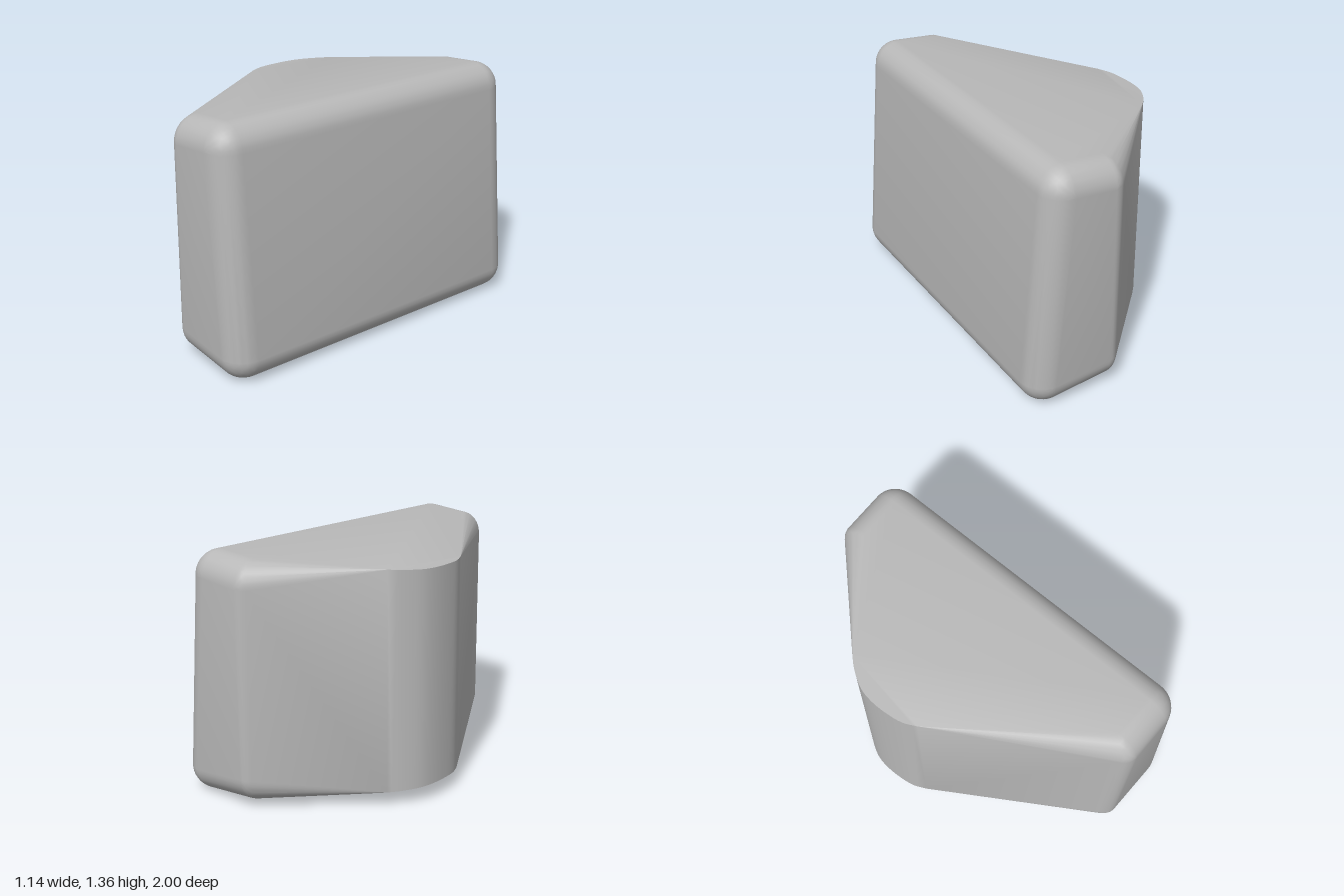
import * as THREE from 'three';
import { ConvexGeometry } from 'three/addons/geometries/ConvexGeometry.js';
import { toCreasedNormals } from 'three/addons/utils/BufferGeometryUtils.js';

// Points of an ellipsoid that rounds one corner of the block
function roundedCorner(center, radii) {
  const ball = new THREE.SphereGeometry(1, 32, 20).rotateX(Math.PI / 2);
  const pos = ball.attributes.position;
  const points = [];
  for (let i = 0; i < pos.count; i++) {
    points.push(new THREE.Vector3().fromBufferAttribute(pos, i).multiply(radii).add(center));
  }
  return points;
}

export function createModel() {
  const group = new THREE.Group();
  group.name = 'wedgeBlock';
  const grey = new THREE.MeshStandardMaterial({ color: 0xb8b8b8 });
  grey.name = 'grey';

  const points = [];

  // Rounded corners: slanted right face, then the narrow front and back ends
  const round = new THREE.Vector3(0.138, 0.138, 0.138);
  const tightRound = new THREE.Vector3(0.1, 0.14, 0.14);
  for (const side of [1, -1]) {
    points.push(
      ...roundedCorner(new THREE.Vector3(0.335, 1.222, side * 0.862), round),
      ...roundedCorner(new THREE.Vector3(0.432, 0.138, side * 0.862), round),
      ...roundedCorner(new THREE.Vector3(0.1, 1.2, side * 0.86), tightRound),
      ...roundedCorner(new THREE.Vector3(0.1, 0.17, side * 0.86), tightRound)
    );
  }

  // Curved left nose with sharp top and bottom rims on the sloping planes
  const nose = new THREE.CatmullRomCurve3(
    [[-0.45, -0.455], [-0.5, -0.397], [-0.555, -0.3], [-0.572, -0.21],
      [-0.57, -0.106], [-0.555, -0.016], [-0.52, 0.058]]
      .map(([x, z]) => new THREE.Vector3(x, 0, z))
  );
  for (const { x, z } of nose.getPoints(18)) {
    const run = x + 0.57;
    points.push(
      new THREE.Vector3(x, 1.285 + 0.083 * run, z),
      new THREE.Vector3(x, 0.09 - 0.09 * run, z)
    );
  }

  // One convex skin over all corners and the nose
  const body = new THREE.Mesh(toCreasedNormals(new ConvexGeometry(points), 0.5), grey);
  body.name = 'body';
  group.add(body);
  return group;
}
